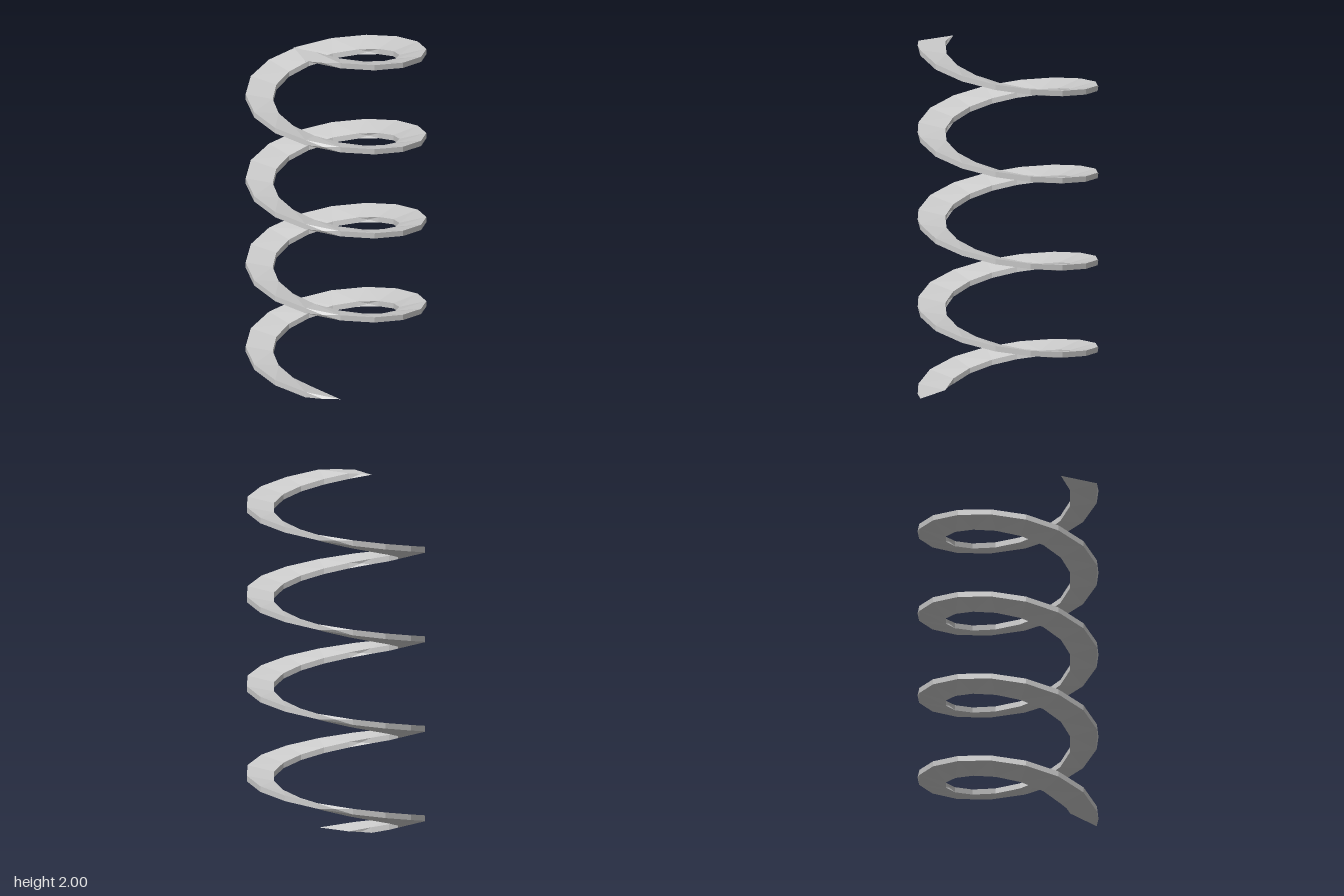
import * as THREE from 'three';

const TURNS = 4, SIDES = 16, LAYERS = TURNS * SIDES, HEIGHT = 2;
const STEP = (2 * Math.PI) / SIDES;
const OUTER = 0.5, INNER = 0.35;

// One horizontal slice: an outer arc, and an inner arc turned one step ahead so the ribbon tilts inward
function slice(k) {
  const y = (k / LAYERS) * HEIGHT;
  // each half turn has a rounded-out middle point, other slices a straight chord
  const mid = k % (SIDES / 2) === 0 ? 1 : Math.cos(STEP / 2);
  const points = [];
  for (const [radius, lead] of [[OUTER, 0], [INNER, 1]]) {
    for (const [offset, scale] of [[-0.5, 1], [0, mid], [0.5, 1]]) {
      const a = (k + lead + offset) * STEP;
      points.push(-radius * scale * Math.sin(a), y, radius * scale * Math.cos(a));
    }
  }
  return points;
}

function helixGeometry() {
  const positions = [], index = [];
  for (let k = 0; k <= LAYERS; k++) positions.push(...slice(k));

  // corners in a slice: outer 0 1 2, inner 3 4 5; the next slice adds 6
  const wall = [
    0, 6, 1, 1, 6, 2, 2, 6, 7, 2, 7, 8,         // outer edge
    3, 4, 9, 4, 5, 9, 5, 10, 9, 5, 11, 10,      // inner edge
    0, 3, 6, 6, 3, 9,                           // upper side
    2, 8, 5, 8, 11, 5,                          // under side
  ];
  for (let k = 0; k < LAYERS; k++) index.push(...wall.map((i) => i + k * 6));

  // flat ends
  const cap = [0, 3, 4, 0, 4, 1, 1, 4, 5, 1, 5, 2];
  index.push(...cap.map((i) => i + LAYERS * 6), ...cap.slice().reverse());

  const indexed = new THREE.BufferGeometry();
  indexed.setAttribute('position', new THREE.Float32BufferAttribute(positions, 3));
  indexed.setIndex(index);
  const geometry = indexed.toNonIndexed();
  geometry.computeVertexNormals();
  return geometry;
}

export function createModel() {
  const group = new THREE.Group();
  group.name = 'spiral';
  const material = new THREE.MeshStandardMaterial({ color: 0xcccccc, flatShading: true });
  const ribbon = new THREE.Mesh(helixGeometry(), material);
  ribbon.name = 'helicalRibbon';
  group.add(ribbon);
  return group;
}
